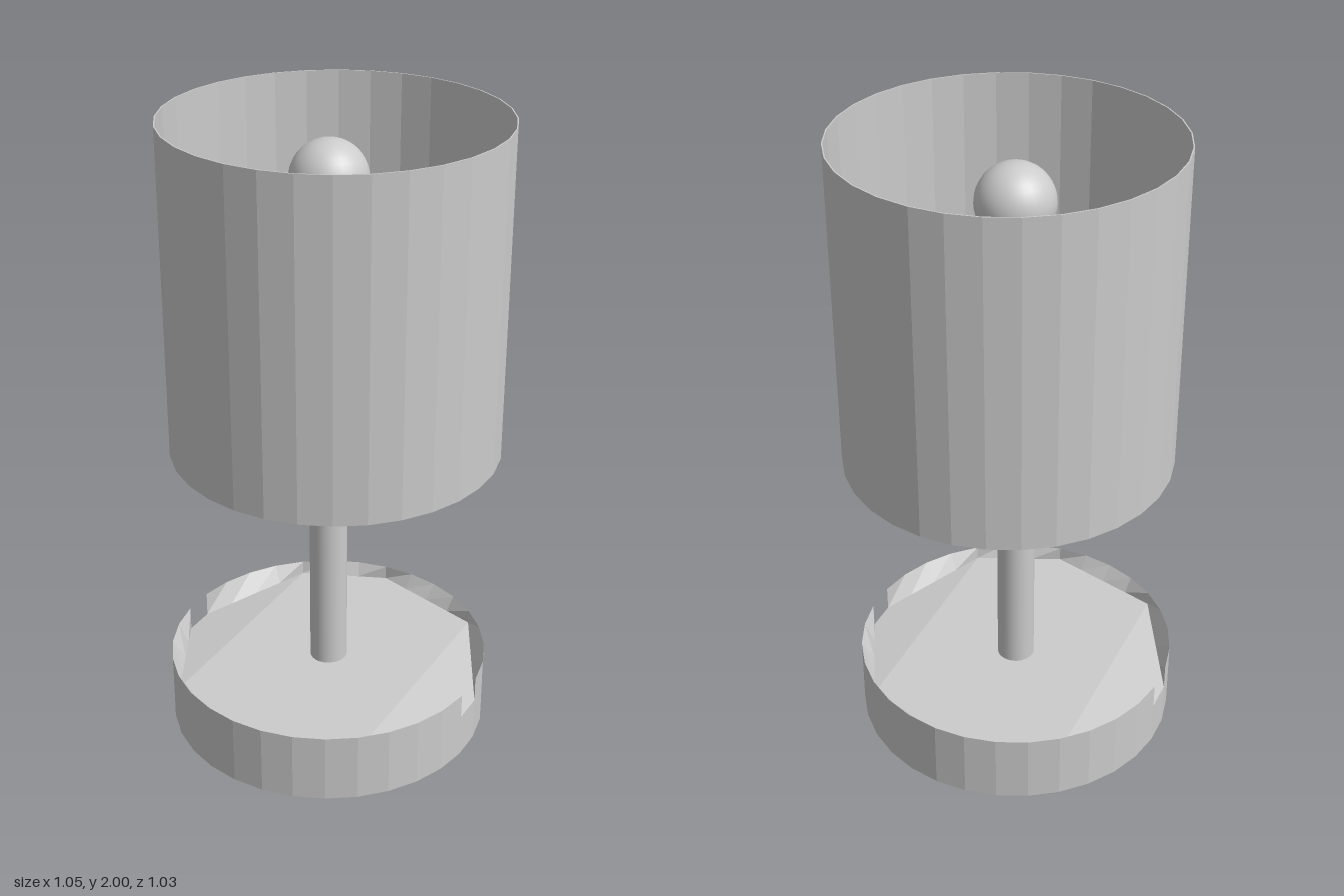
import * as THREE from 'three';

const SIDES = 32, R = 0.513, BASE_X = -0.013;
const RIM_Y = 0.227, PLATE_Y = 0.18, NOTCH_Y = 0.145;
const NOTCHES = [3, 19]; // rim facets cut down on opposite sides

const grey = (extra = {}) => new THREE.MeshStandardMaterial({ color: 0xcccccc, ...extra });

function addMesh(parent, name, geometry, material, x = 0, y = 0, z = 0) {
  const mesh = new THREE.Mesh(geometry, material);
  mesh.name = name;
  mesh.position.set(x, y, z);
  parent.add(mesh);
  return mesh;
}

// Point on the base outline at facet corner k
function rimPoint(k, y) {
  const a = (k / SIDES) * Math.PI * 2;
  return new THREE.Vector3(R * Math.cos(a), y, R * Math.sin(a));
}

function surface(triangles) {
  return new THREE.BufferGeometry().setFromPoints(triangles);
}

// Wall of the base, lower at the two notches
function baseWall() {
  const pts = [];
  for (let k = 0; k < SIDES; k++) {
    const top = NOTCHES.includes(k) ? NOTCH_Y : RIM_Y;
    const a = rimPoint(k, 0), b = rimPoint(k + 1, 0);
    const c = rimPoint(k + 1, top), d = rimPoint(k, top);
    pts.push(a, d, c, a, c, b);
  }
  const g = surface(pts);
  g.computeVertexNormals();
  return g;
}

// Sunken faceted top: flat middle, ramps to the notches, slopes up to the rim
function baseTop() {
  const pts = [];
  const isNotch = (k) => NOTCHES.some((n) => k === n || k === n + 1);
  const low = (k) => rimPoint(k, isNotch(k % SIDES) ? NOTCH_Y : PLATE_Y);
  const fan = (...ks) => {
    for (let i = 1; i < ks.length - 1; i++) pts.push(low(ks[0]), low(ks[i + 1]), low(ks[i]));
  };
  fan(31, 8, 15, 24);
  for (const h of [0, 16]) {
    fan(31 + h, 3 + h, 4 + h, 8 + h);
    fan(8 + h, 11 + h, 15 + h);
    // Sloping strips between each inner chord and the rim
    for (const [from, to] of [[-1, 3], [4, 8], [8, 11], [11, 15]]) {
      const start = low(from + h + SIDES), end = low(to + h + SIDES);
      for (let k = from; k < to; k++) {
        const p = start.clone().lerp(end, (k - from) / (to - from));
        const q = start.clone().lerp(end, (k + 1 - from) / (to - from));
        const r = rimPoint(k + h, RIM_Y), s = rimPoint(k + 1 + h, RIM_Y);
        pts.push(p, q, s, p, s, r);
      }
    }
  }
  const g = surface(pts);
  g.computeVertexNormals();
  return g;
}

export function createModel() {
  const model = new THREE.Group();
  model.name = 'tableLamp';
  const smooth = grey();
  const faceted = grey({ flatShading: true, side: THREE.DoubleSide });

  // Base
  const base = new THREE.Group();
  base.name = 'base';
  base.position.x = BASE_X;
  model.add(base);
  addMesh(base, 'baseWall', baseWall(), faceted);
  addMesh(base, 'baseTop', baseTop(), faceted);
  addMesh(base, 'baseBottom', new THREE.CircleGeometry(R, SIDES).rotateX(Math.PI / 2), faceted);

  // Stem and the crossbar that carries the shade
  const barY = 1.63;
  const stemHeight = barY - PLATE_Y;
  addMesh(model, 'stem', new THREE.CylinderGeometry(0.06, 0.06, stemHeight, 32), smooth,
    -0.01, PLATE_Y + stemHeight / 2, -0.012);
  addMesh(model, 'crossbar', new THREE.CylinderGeometry(0.058, 0.058, 0.98, 32).rotateZ(Math.PI / 2), smooth,
    0, barY, -0.012);

  // Bulb
  addMesh(model, 'bulb', new THREE.SphereGeometry(0.119, 32, 20), smooth, -0.005, 1.815, -0.02);

  // Thin open shade
  const inner = R - 0.004;
  const profile = [[R, 0.97], [R, 2], [inner, 2], [inner, 0.97], [R, 0.97]]
    .map(([r, y]) => new THREE.Vector2(r, y));
  addMesh(model, 'shade', new THREE.LatheGeometry(profile, SIDES), faceted, 0.011);

  return model;
}
